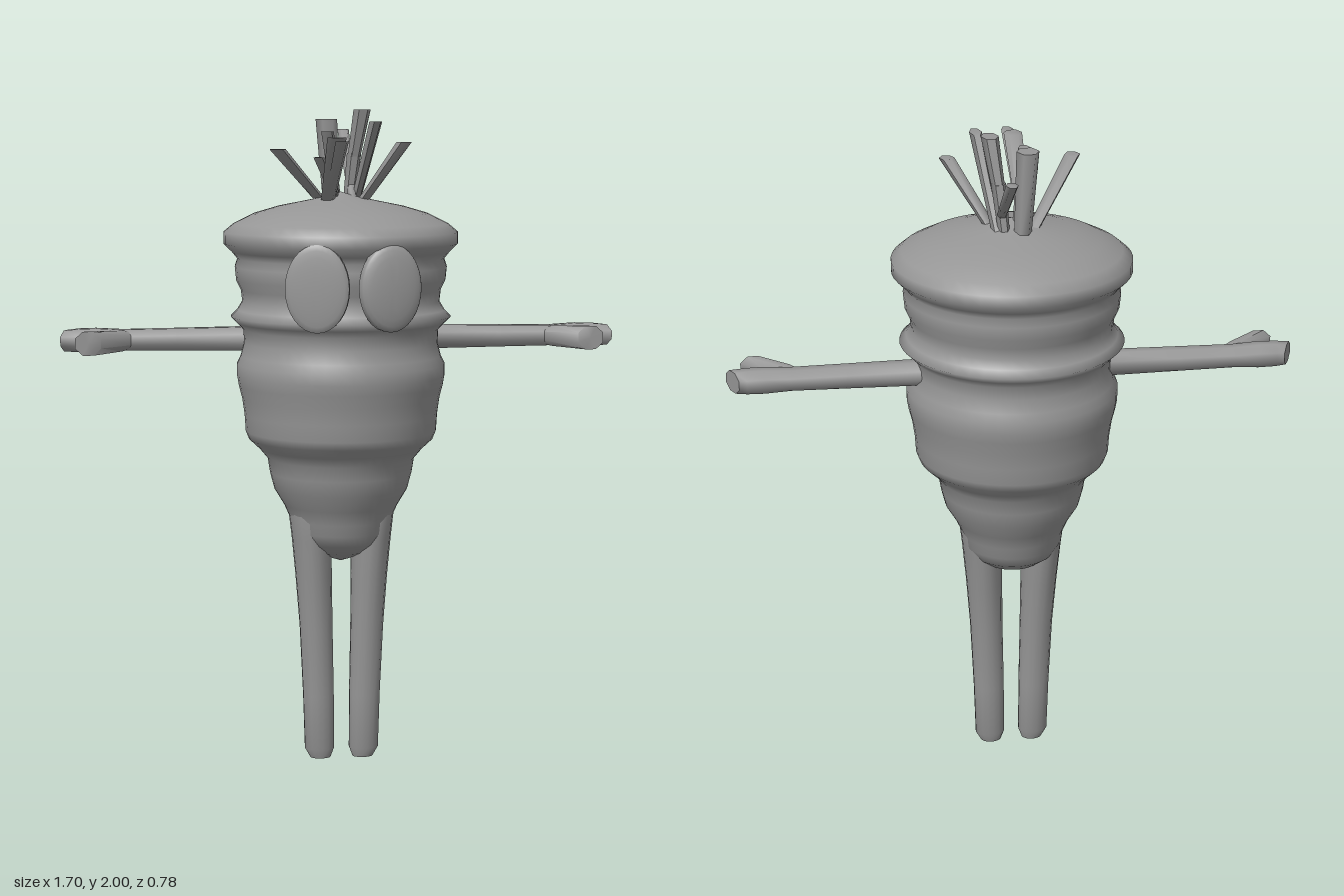
import * as THREE from 'three';
import { toCreasedNormals } from 'three/addons/utils/BufferGeometryUtils.js';

const material = new THREE.MeshStandardMaterial({ color: 0x969696, side: THREE.DoubleSide });

function addMesh(parent, name, geometry) {
  const mesh = new THREE.Mesh(geometry, material);
  mesh.name = name;
  parent.add(mesh);
  return mesh;
}

// Skin elliptical rings [cx, y, cz, rx, rz, tilt], listed from bottom to top, with closed ends
function loft(rings, sides, crease) {
  const first = rings[0], last = rings[rings.length - 1];
  const all = [[...first.slice(0, 3), 0, 0], ...rings, [...last.slice(0, 3), 0, 0]];
  const pos = [], index = [];
  all.forEach(([cx, y, cz, rx, rz, tilt = 0], r) => {
    for (let i = 0; i < sides; i++) {
      const a = ((i + 0.5) / sides) * Math.PI * 2;
      const dz = Math.cos(a) * rz;
      pos.push(cx + Math.sin(a) * rx, y + tilt * dz, cz + dz);
      if (r === 0) continue;
      const j = (i + 1) % sides, lo = (r - 1) * sides, hi = r * sides;
      if (r > 1) index.push(lo + i, lo + j, hi + j);
      if (r < all.length - 1) index.push(lo + i, hi + j, hi + i);
    }
  });
  const g = new THREE.BufferGeometry();
  g.setAttribute('position', new THREE.Float32BufferAttribute(pos, 3));
  g.setIndex(index);
  return toCreasedNormals(g, crease);
}

export function createModel() {
  const model = new THREE.Group();
  model.name = 'carrotFigure';

  // Ridged root body: [radius, height]
  const profile = [
    [0, 0.62], [0.03, 0.63], [0.09, 0.655], [0.13, 0.685], [0.15, 0.72], [0.155, 0.755], [0.175, 0.8],
    [0.205, 0.85], [0.218, 0.9], [0.225, 0.945], [0.25, 0.975], [0.282, 1.005], [0.292, 1.03], [0.295, 1.08],
    [0.302, 1.13], [0.312, 1.17], [0.317, 1.2], [0.317, 1.235], [0.305, 1.26], [0.295, 1.3], [0.297, 1.34],
    [0.315, 1.36], [0.335, 1.38], [0.315, 1.4], [0.3, 1.425], [0.304, 1.46], [0.318, 1.49], [0.322, 1.53],
    [0.314, 1.555], [0.33, 1.575], [0.355, 1.6], [0.355, 1.635], [0.325, 1.66], [0.265, 1.69],
    [0.19, 1.712], [0.1, 1.73], [0.05, 1.74], [0, 1.755],
  ].map(([r, y]) => new THREE.Vector2(r, y));
  addMesh(model, 'body', new THREE.LatheGeometry(profile, 48).translate(0, 0, -0.035));

  for (const s of [-1, 1]) {
    const side = s > 0 ? 'left' : 'right';

    // Tapered leg
    addMesh(model, side + 'Leg', loft([
      [s * 0.066, 0, -0.018, 0.032, 0.024], [s * 0.069, 0.03, -0.018, 0.046, 0.033],
      [s * 0.072, 0.2, -0.018, 0.048, 0.042], [s * 0.079, 0.42, -0.018, 0.051, 0.055],
      [s * 0.086, 0.58, -0.022, 0.056, 0.077], [s * 0.092, 0.7, -0.024, 0.061, 0.096],
      [s * 0.097, 0.77, -0.026, 0.064, 0.106], [s * 0.1, 0.88, -0.03, 0.064, 0.11],
    ], 16, 1));

    // Straight arm ending in a slanted mitten
    const arm = loft([
      [0, 0.22, -0.088, 0.04, 0.041], [0, 0.5, -0.088, 0.036, 0.041], [0, 0.66, -0.088, 0.034, 0.041],
      [0, 0.74, -0.088, 0.039, 0.041], [0, 0.79, -0.088, 0.038, 0.041], [0, 0.831, -0.088, 0.034, 0.039, 0.5],
    ], 8, 0.9);
    addMesh(model, side + 'Arm', arm.rotateZ(-s * Math.PI / 2)).position.y = 1.308;

    // Thumb angled towards the front
    const thumb = loft([
      [s * 0.65, -0.085, 0, 0.048, 0.028], [s * 0.68, -0.052, 0, 0.05, 0.034], [s * 0.766, 0.018, 0, 0.042, 0.039],
    ], 8, 0.9);
    addMesh(model, side + 'Thumb', thumb.rotateX(Math.PI / 2)).position.y = 1.308;

    // Oval eye, domed on the left and nearly flat on the right
    const dome = s > 0 ? 0.024 : 0.012;
    const eyeProfile = [[0, -0.03], [0.8, -0.03], [1, -0.015], [1, 0.004]].map(([r, y]) => new THREE.Vector2(r, y));
    for (let i = 1; i <= 6; i++) {
      const a = (i / 6) * Math.PI / 2;
      eyeProfile.push(new THREE.Vector2(Math.cos(a), 0.004 + Math.sin(a) * dome));
    }
    const eyeGeo = new THREE.LatheGeometry(eyeProfile, 32).rotateX(Math.PI / 2).scale(0.094, 0.128, 1);
    const eye = addMesh(model, side + 'Eye', toCreasedNormals(eyeGeo, 0.7));
    eye.position.set(s * 0.108, 1.487, s > 0 ? 0.294 : 0.299);
    eye.rotation.y = s * 0.24;
  }

  // Tuft of level-cut stalks: root, tip, tip half-width in x and z
  const tuft = new THREE.Group();
  tuft.name = 'leafTuft';
  model.add(tuft);
  [
    [[0.035, 1.72, 0], [0.042, 1.94, -0.33], 0.018, 0.03],
    [[0.05, 1.72, -0.08], [0.083, 1.965, 0.14], 0.019, 0.045],
    [[0.06, 1.72, -0.02], [0.175, 1.905, 0.09], 0.023, 0.026],
    [[-0.05, 1.72, -0.08], [-0.207, 1.885, 0.145], 0.024, 0.03],
    [[-0.035, 1.72, -0.03], [-0.042, 1.91, 0.355], 0.019, 0.035],
    [[-0.045, 1.73, 0.02], [-0.048, 1.92, 0.28], 0.028, 0.035],
    [[-0.02, 1.7, -0.105], [-0.035, 1.972, -0.11], 0.033, 0.042],
    [[0.03, 1.72, -0.09], [0.045, 1.87, -0.07], 0.022, 0.03],
    [[0.045, 1.86, -0.07], [0.065, 2, -0.037], 0.026, 0.04],
    [[-0.01, 1.72, -0.06], [-0.05, 1.935, 0.055], 0.019, 0.035],
    [[-0.01, 1.72, -0.03], [-0.08, 1.86, 0.09], 0.016, 0.026],
  ].forEach(([root, tip, rx, rz]) => {
    addMesh(tuft, 'stalk', loft([[...root, rx * 0.75, rz * 0.75], [...tip, rx, rz]], 6, 1.15));
  });

  return model;
}
